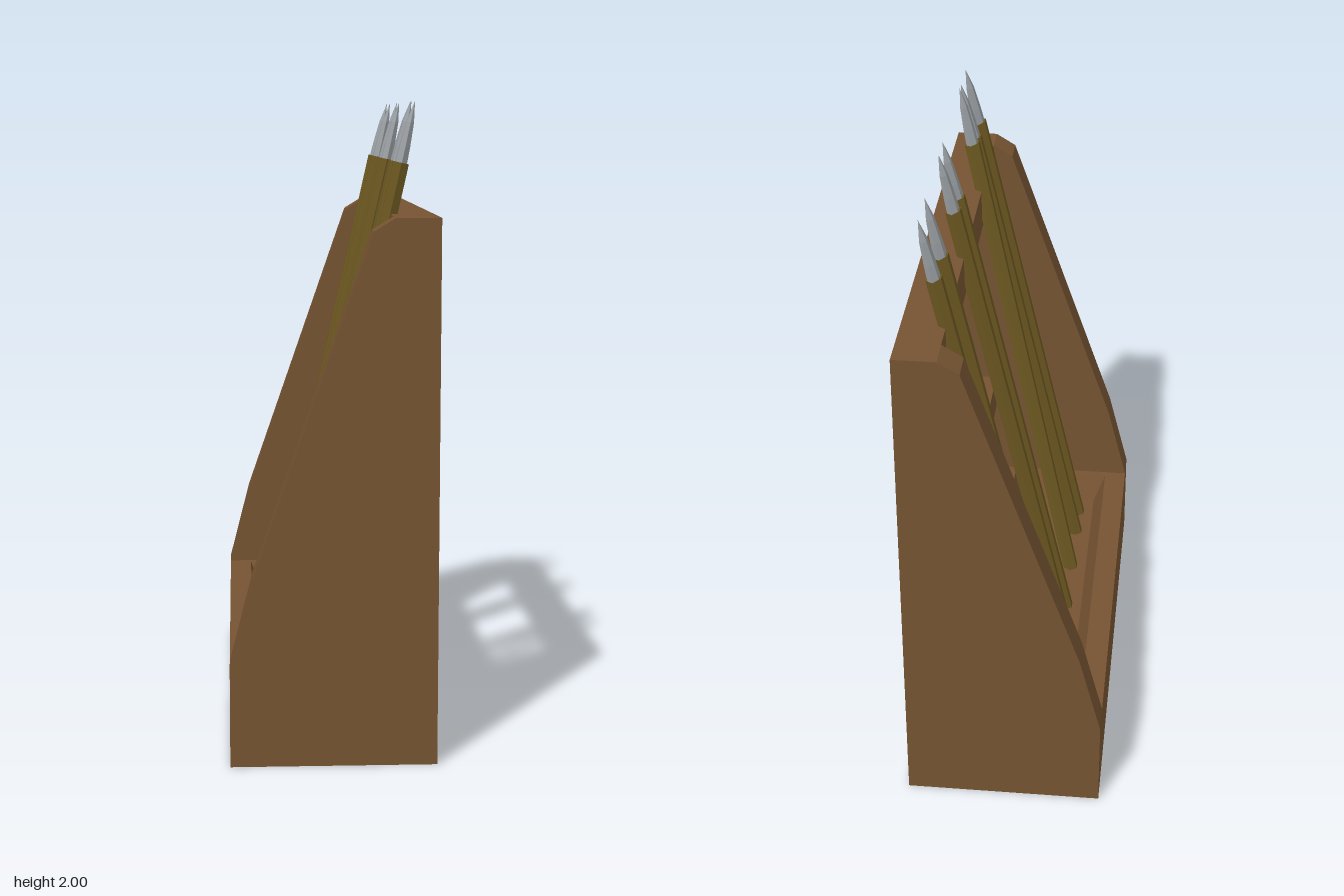
import * as THREE from 'three';

const wood = new THREE.MeshStandardMaterial({ color: 0x755331, flatShading: true });
const shaftWood = new THREE.MeshStandardMaterial({ color: 0x6b5720, flatShading: true });
const steel = new THREE.MeshStandardMaterial({ color: 0x9a9fa3, flatShading: true });

function addMesh(parent, name, geometry, material, x = 0, y = 0, z = 0) {
  const mesh = new THREE.Mesh(geometry, material);
  mesh.name = name;
  mesh.position.set(x, y, z);
  parent.add(mesh);
  return mesh;
}

// Skin through rectangles [xMin, xMax, halfDepth, y], closed at both ends
function rectLoft(rects) {
  const rings = rects.map(([x0, x1, d, y]) => [[x1, y, d], [x1, y, -d], [x0, y, -d], [x0, y, d]]);
  const pos = [];
  const quad = (a, b, c, d) => pos.push(...a, ...b, ...c, ...a, ...c, ...d);
  for (let r = 0; r < rings.length - 1; r++) {
    const lo = rings[r], hi = rings[r + 1];
    for (let i = 0; i < 4; i++) {
      const j = (i + 1) % 4;
      quad(lo[i], lo[j], hi[j], hi[i]);
    }
  }
  const first = rings[0], last = rings[rings.length - 1];
  quad(first[3], first[2], first[1], first[0]);
  quad(last[0], last[1], last[2], last[3]);
  const geo = new THREE.BufferGeometry();
  geo.setAttribute('position', new THREE.Float32BufferAttribute(pos, 3));
  geo.computeVertexNormals();
  return geo;
}

// Six-sided shaft with a flattened, pointed head
function makeSpear(bottom, tip) {
  const spear = new THREE.Group();
  spear.name = 'spear';
  const axis = tip.clone().sub(bottom);
  const length = axis.length(), headLength = 0.19, shaftLength = length - headLength;
  addMesh(spear, 'spearShaft', new THREE.CylinderGeometry(0.027, 0.027, shaftLength, 6), shaftWood, 0, shaftLength / 2);
  const profile = [[0, 0], [0.033, 0], [0.03, 0.05], [0.021, 0.125], [0, headLength]]
    .map(([r, y]) => new THREE.Vector2(r, y));
  const head = addMesh(spear, 'spearHead', new THREE.LatheGeometry(profile, 6), steel, 0, shaftLength);
  head.scale.x = 0.6;
  spear.position.copy(bottom);
  spear.quaternion.setFromUnitVectors(new THREE.Vector3(0, 1, 0), axis.normalize());
  return spear;
}

export function createModel() {
  const model = new THREE.Group();
  model.name = 'spearRack';

  // Side panels with the sloping edge
  const outline = [[-0.315, 0], [0.315, 0], [0.315, 1.66], [0.18, 1.66], [0.115, 1.62], [-0.245, 0.58], [-0.315, 0.305]];
  const panel = new THREE.ExtrudeGeometry(
    new THREE.Shape(outline.map(([x, y]) => new THREE.Vector2(x, y))),
    { depth: 0.097, bevelEnabled: false });
  addMesh(model, 'leftSidePanel', panel, wood, 0, 0, 0.673);
  addMesh(model, 'rightSidePanel', panel, wood, 0, 0, -0.77);

  // Base with a sunken tray
  addMesh(model, 'base', rectLoft([
    [-0.315, 0.315, 0.673, 0],
    [-0.315, 0.315, 0.673, 0.305],
    [-0.24, 0.105, 0.653, 0.305],
    [-0.2, 0.068, 0.608, 0.215],
  ]), wood);

  // Rails between the panels
  addMesh(model, 'topRail', new THREE.BoxGeometry(0.135, 0.14, 1.346), wood, 0.2475, 1.59);
  addMesh(model, 'middleRail', new THREE.BoxGeometry(0.135, 0.13, 1.346), wood, 0.2475, 0.645);

  // Leaning spears: z at the foot and at the tip
  const spears = [
    [0.53, 0.53], [0.408, 0.408], [0.192, 0.375], [-0.035, -0.035],
    [-0.128, -0.128], [-0.42, -0.42], [-0.557, -0.557],
  ];
  for (const [footZ, tipZ] of spears) {
    model.add(makeSpear(new THREE.Vector3(-0.145, 0.21, footZ), new THREE.Vector3(0.255, 2, tipZ)));
  }
  return model;
}
